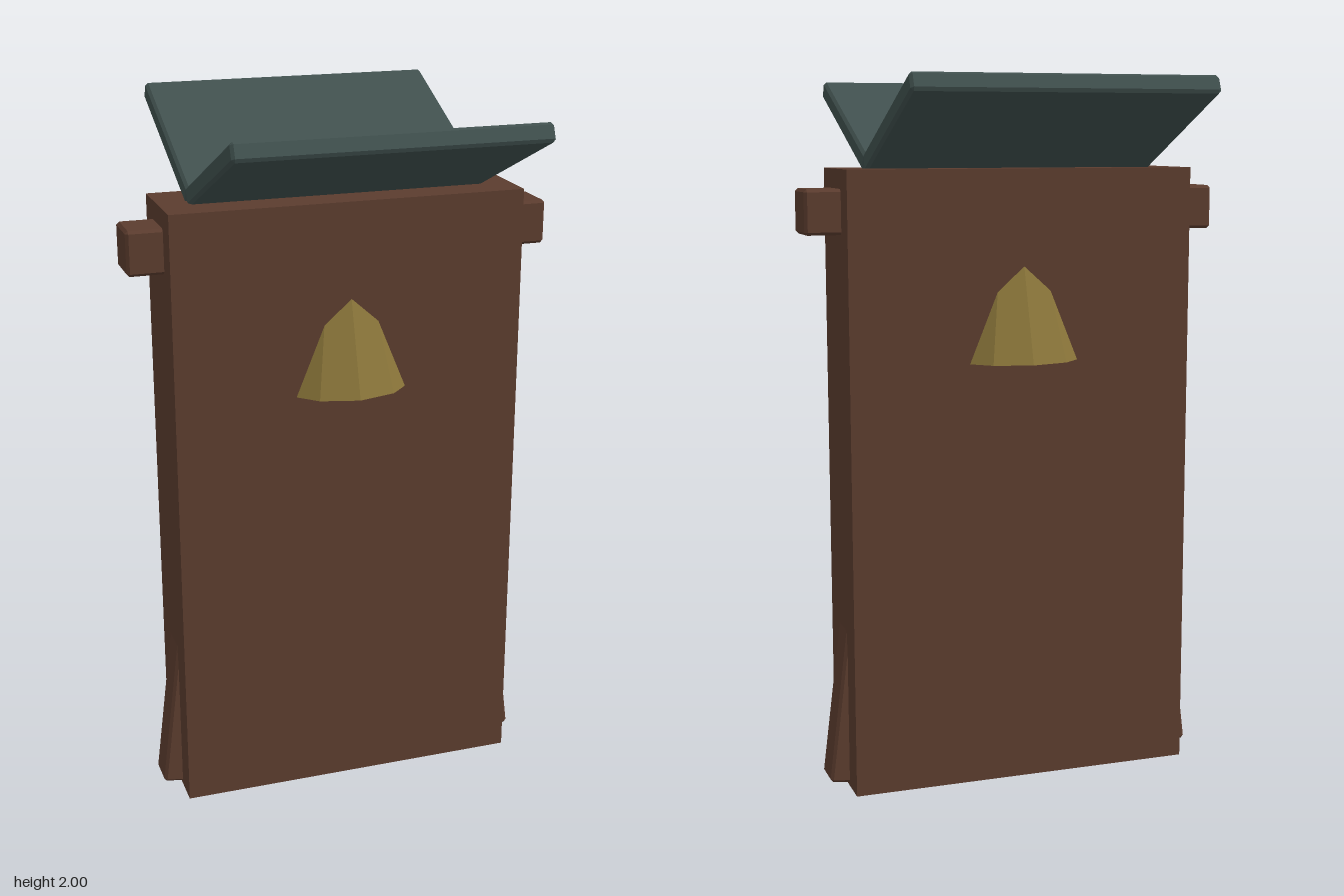
import * as THREE from 'three';
import { ConvexGeometry } from 'three/addons/geometries/ConvexGeometry.js';

const material = (color) => new THREE.MeshStandardMaterial({ color, flatShading: true });

// Box with small flat chamfers: each corner becomes three points, one per face
function chamferBox(w, h, d, c) {
  const points = [];
  const half = [w / 2, h / 2, d / 2];
  for (const sx of [-1, 1]) for (const sy of [-1, 1]) for (const sz of [-1, 1]) {
    for (let face = 0; face < 3; face++) {
      const p = half.map((v, axis) => (axis === face ? v : v - c));
      points.push(new THREE.Vector3(sx * p[0], sy * p[1], sz * p[2]));
    }
  }
  return new ConvexGeometry(points);
}

export function createModel() {
  const model = new THREE.Group();
  const wood = material(0x5b3c2e);
  const slate = material(0x40504e);
  const brass = material(0x8b763a);

  const add = (name, geometry, mat, x, y, z) => {
    const mesh = new THREE.Mesh(geometry, mat);
    mesh.name = name;
    mesh.position.set(x, y, z);
    model.add(mesh);
    return mesh;
  };

  // Tall slab body and the crossbeam through its top
  add('body', new THREE.BoxGeometry(1, 1.755, 0.27), wood, 0, 0.8775, 0);
  add('crossbeam', chamferBox(1.2, 0.124, 0.128, 0.008), wood, 0, 1.64, 0);

  // Twelve-sided bell, showing on both faces of the body
  add('bell', new THREE.CylinderGeometry(0.122, 0.215, 0.31, 12), brass, 0, 1.375, 0);

  // Roof panels rising outward from the middle in a V
  const tilt = 0.41, length = 0.527;
  for (const s of [-1, 1]) {
    const panel = add(s > 0 ? 'frontRoofPanel' : 'backRoofPanel',
      chamferBox(0.84, 0.052, length, 0.008), slate,
      0, 1.768 + Math.sin(tilt) * length / 2, s * Math.cos(tilt) * length / 2);
    panel.rotation.x = -s * tilt;
  }

  // Leaning braces at the foot of each side
  for (const s of [-1, 1]) {
    const brace = add(s > 0 ? 'leftBrace' : 'rightBrace',
      chamferBox(0.1, 0.6, 0.1, 0.008), wood, s * 0.469, 0.307, 0);
    brace.rotation.z = s * 0.124;
  }

  return model;
}
